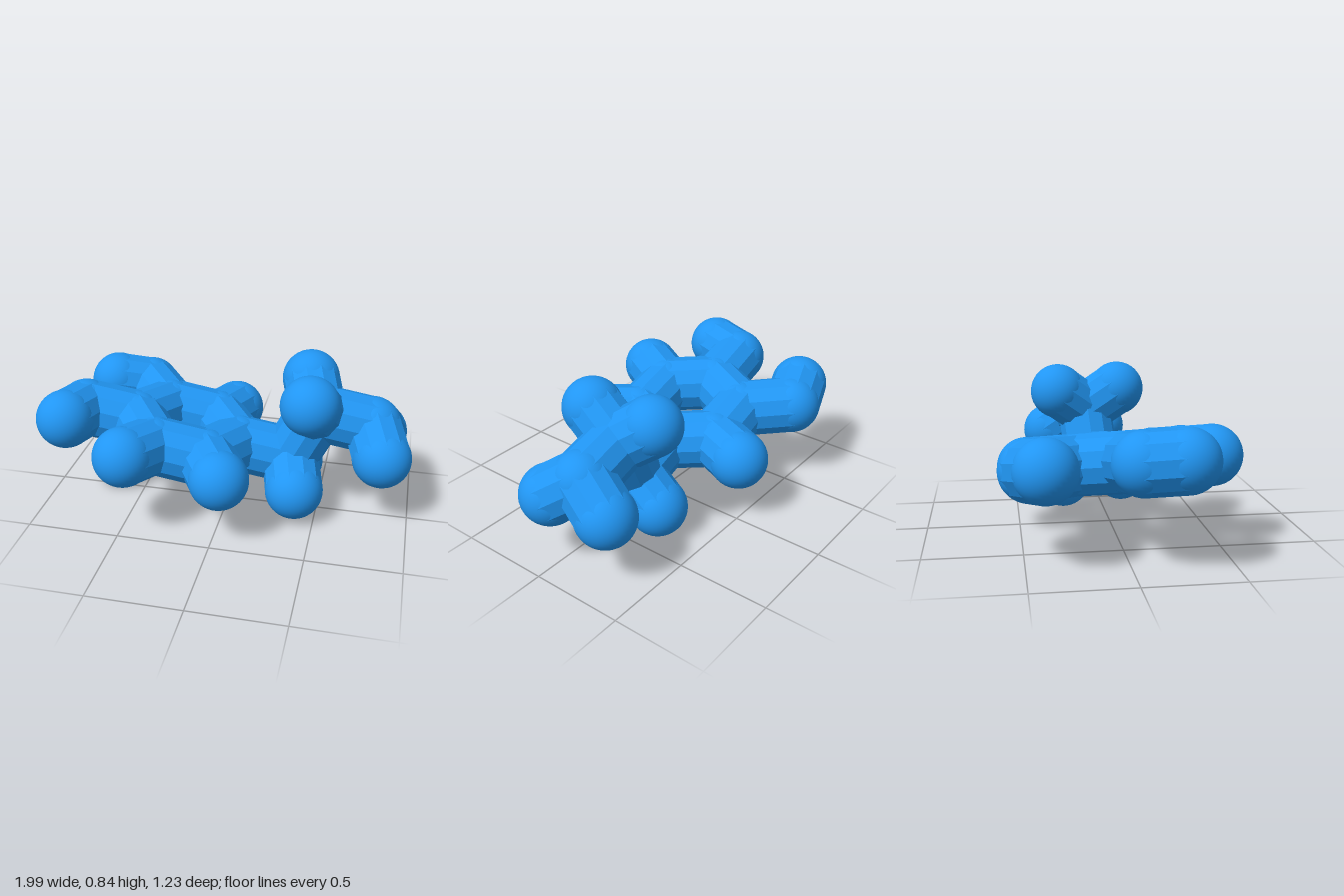
import * as THREE from 'three';

const RADIUS = 0.157;
const UP = new THREE.Vector3(0, 1, 0);

export function createModel() {
  const model = new THREE.Group();
  model.name = 'stickMolecule';
  const ballMaterial = new THREE.MeshStandardMaterial({ color: 0x2196f3 });
  const rodMaterial = new THREE.MeshStandardMaterial({ color: 0x2196f3, flatShading: true });
  const ballGeometry = new THREE.SphereGeometry(RADIUS, 40, 24);

  // Rounded joint or tip
  function atom(name, x, y, z) {
    const ball = new THREE.Mesh(ballGeometry, ballMaterial);
    ball.name = name;
    ball.position.set(x, y, z);
    model.add(ball);
    return ball.position;
  }

  // Faceted rod between two joints
  function bond(name, a, b) {
    const geometry = new THREE.CylinderGeometry(RADIUS, RADIUS, a.distanceTo(b), 12, 1, true);
    const rod = new THREE.Mesh(geometry, rodMaterial);
    rod.name = name;
    rod.position.copy(a).add(b).multiplyScalar(0.5);
    rod.quaternion.setFromUnitVectors(UP, b.clone().sub(a).normalize());
    model.add(rod);
  }

  function branch(name, from, x, y, z) {
    const tip = atom(name + 'Atom', x, y, z);
    bond(name + 'Bond', from, tip);
    return tip;
  }

  // The ring and its side groups lie in one tilted plane
  const planeY = (x, z) => 0.355 - 0.2 * x + 0.05 * z;
  const flatBranch = (name, from, x, z) => branch(name, from, x, planeY(x, z), z);

  // Six-sided ring, counted anticlockwise from the chain side
  const ring = [];
  for (let i = 0; i < 6; i++) {
    const angle = THREE.MathUtils.degToRad(5 + i * 60);
    const x = -0.235 + 0.28 * Math.cos(angle);
    const z = -0.005 - 0.283 * Math.sin(angle);
    ring.push(atom('ringAtom', x, planeY(x, z), z));
  }
  ring.forEach((a, i) => bond('ringBond', a, ring[(i + 1) % 6]));

  // Single tips around the ring
  flatBranch('ringTip', ring[1], -0.05, -0.46);
  flatBranch('ringTip', ring[4], -0.455, 0.455);
  flatBranch('ringTip', ring[5], 0.035, 0.41);

  // Two bent side groups
  const backElbow = flatBranch('sideGroup', ring[2], -0.575, -0.463);
  flatBranch('sideGroupTip', backElbow, -0.76, -0.4);
  const leftElbow = flatBranch('sideGroup', ring[3], -0.795, 0.05);
  flatBranch('sideGroupTip', leftElbow, -0.842, 0.242);

  // Zigzag chain, each joint carrying a pair of tips
  const lower = branch('chain', ring[0], 0.335, 0.285, -0.06);
  branch('chainTip', lower, 0.386, 0.175, 0.12);
  branch('chainTip', lower, 0.345, 0.158, -0.23);

  const upper = branch('chain', lower, 0.47, 0.555, -0.085);
  branch('chainTip', upper, 0.45, 0.682, 0.103);
  branch('chainTip', upper, 0.41, 0.677, -0.25);

  const end = branch('chainEnd', upper, 0.765, 0.497, -0.11);
  branch('endTip', end, 0.835, 0.385, 0.045);
  branch('endTip', end, 0.8, 0.375, -0.28);

  return model;
}
